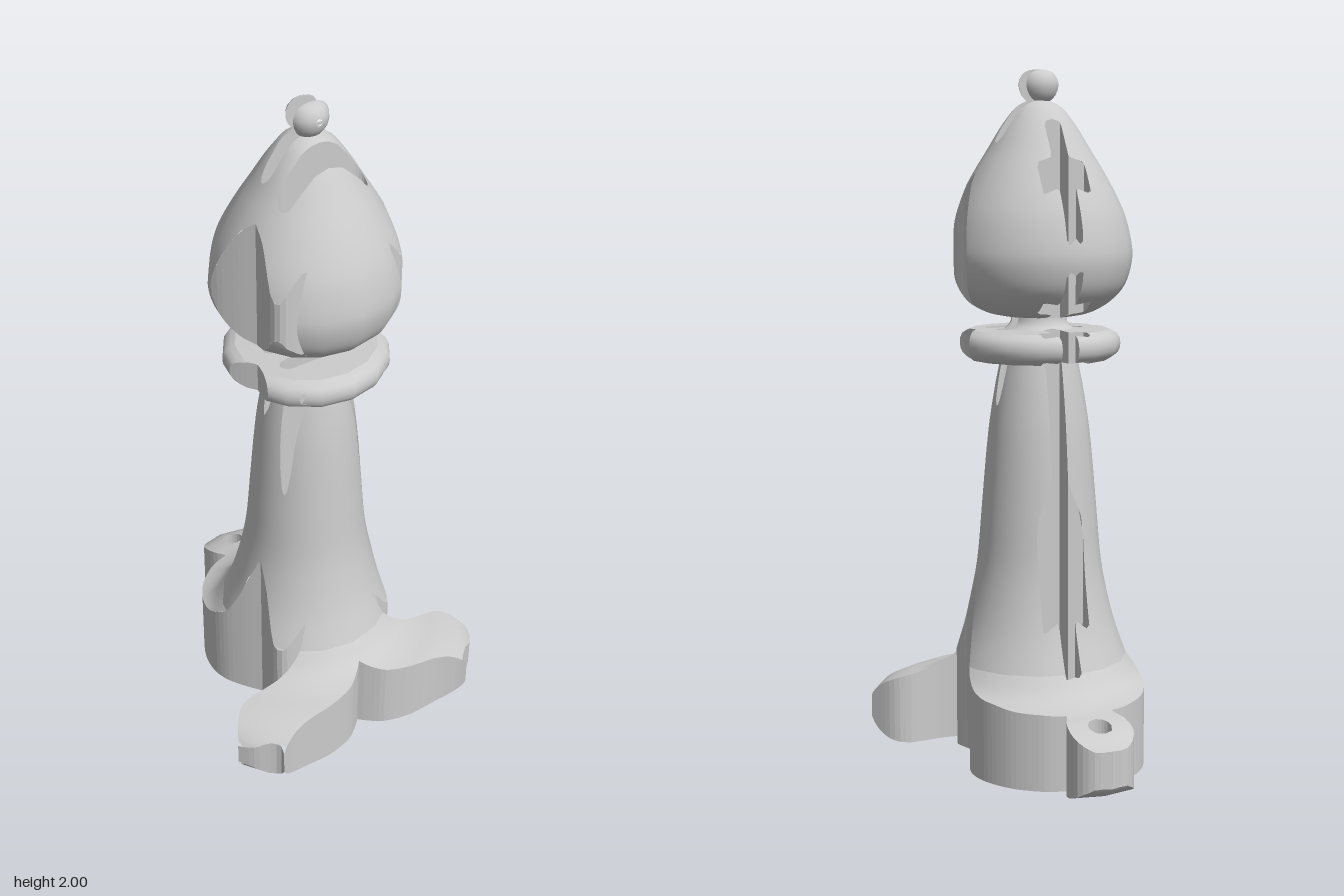
import * as THREE from 'three';

// The solid is a turned chess piece (16-sided lathe) cut vertically by a flat emblem outline.
const AXIS_Z = 0.057, SIDES = 16, SEGMENTS = 128, STEP = 0.017;
const V2 = (p) => new THREE.Vector2(p[0], p[1]);

// Smooth curve (or straight line) through points, evenly sampled
function sample(points, step = STEP) {
  const curve = points.length === 2
    ? new THREE.LineCurve(V2(points[0]), V2(points[1]))
    : new THREE.SplineCurve(points.map(V2));
  return curve.getSpacedPoints(Math.max(2, Math.ceil(curve.getLength() / step)));
}

// Right half of the emblem outline (x, z), from back to front; each list is one smooth run
const HALF_OUTLINE = [
  [[0, -0.46], [0.05, -0.45], [0.083, -0.42], [0.092, -0.383], [0.085, -0.34], [0.065, -0.305]],
  [[0.065, -0.305], [0.13, -0.282], [0.2, -0.225], [0.245, -0.15], [0.26, -0.08], [0.25, -0.02], [0.22, 0.035], [0.18, 0.09]],
  [[0.18, 0.09], [0.19, 0.14], [0.205, 0.19], [0.203, 0.213], [0.18, 0.235], [0.118, 0.243]],
  [[0.118, 0.243], [0.16, 0.262], [0.22, 0.271], [0.28, 0.268], [0.34, 0.266], [0.385, 0.288], [0.428, 0.35]],
  [[0.428, 0.35], [0.395, 0.39], [0.35, 0.42], [0.335, 0.435], [0.335, 0.455]],
  [[0.335, 0.455], [0.3, 0.44], [0.24, 0.427], [0.15, 0.424], [0.07, 0.405], [0.025, 0.375], [0, 0.352]],
];

// Closed loops: outer outline, tail eye, cross and two rounded slots
function makeLoops() {
  const loops = [];
  const half = HALF_OUTLINE.flatMap((run) => sample(run).slice(0, -1));
  half.push(new THREE.Vector2(0, 0.352));
  const mirrored = half.slice(1, -1).reverse().map((p) => new THREE.Vector2(-p.x, p.y));
  loops.push([...half, ...mirrored]);

  const eye = new THREE.EllipseCurve(0, -0.377, 0.034, 0.034);
  loops.push(eye.getPoints(24).slice(0, -1));

  const w = 0.025, l = 0.072, z0 = -0.205, z1 = -0.148, z2 = -0.098, z3 = -0.037;
  const cross = [[w, z0], [w, z1], [l, z1], [l, z2], [w, z2], [w, z3],
    [-w, z3], [-w, z2], [-l, z2], [-l, z1], [-w, z1], [-w, z0]];
  loops.push(cross.flatMap((p, i) => sample([p, cross[(i + 1) % 12]]).slice(0, -1)));

  for (const [a, b] of [[0.03, 0.073], [0.112, 0.158]]) {
    const c = (a + b) / 2, h = (b - a) / 2, e = 0.105;
    const end = (s) => Array.from({ length: 11 }, (_, i) => {
      const t = -Math.PI / 2 + Math.PI * i / 10;
      return new THREE.Vector2(s * (e + 0.03 * Math.cos(t)), c + s * h * Math.sin(t));
    });
    const right = end(1), left = end(-1);
    loops.push([...right, ...sample([[e, b], [-e, b]]).slice(1, -1),
      ...left, ...sample([[-e, a], [e, a]]).slice(1, -1)]);
  }
  return loops;
}

// Signed distance to the emblem, positive inside
function emblemDistance(edges, x, z) {
  let best = Infinity, inside = false;
  for (const [a, b] of edges) {
    const dx = b.x - a.x, dz = b.y - a.y;
    const t = Math.min(1, Math.max(0, ((x - a.x) * dx + (z - a.y) * dz) / (dx * dx + dz * dz)));
    best = Math.min(best, (a.x + t * dx - x) ** 2 + (a.y + t * dz - z) ** 2);
    if ((a.y > z) !== (b.y > z) && x < a.x + (z - a.y) / dz * dx) inside = !inside;
  }
  return (inside ? 1 : -1) * Math.sqrt(best);
}

// How far a 16-sided ring falls short of its circle at an angle
function ringFactor(angle) {
  const sector = Math.PI * 2 / SIDES;
  const local = ((angle % sector) + sector) % sector - sector / 2;
  return Math.cos(sector / 2) / Math.cos(local);
}
function ringRadius(p) {
  const z = p.y - AXIS_Z;
  return Math.hypot(p.x, z) / ringFactor(Math.atan2(p.x, z));
}

// Collects triangles, keeping only the part where the vertex value f is positive
class ClippedSurface {
  positions = [];
  normals = [];
  triangle(...corners) {
    const kept = [];
    corners.forEach((a, i) => {
      const b = corners[(i + 1) % 3];
      if (a.f >= 0) kept.push(a);
      if ((a.f >= 0) !== (b.f >= 0)) {
        const t = a.f / (a.f - b.f);
        kept.push({ p: a.p.clone().lerp(b.p, t), n: a.n.clone().lerp(b.n, t).normalize() });
      }
    });
    for (let i = 1; i + 1 < kept.length; i++) {
      let [a, b, c] = [kept[0], kept[i], kept[i + 1]];
      const face = b.p.clone().sub(a.p).cross(c.p.clone().sub(a.p));
      if (face.lengthSq() < 1e-16) continue;
      if (face.dot(a.n.clone().add(b.n).add(c.n)) < 0) [b, c] = [c, b];
      for (const v of [a, b, c]) {
        this.positions.push(v.p.x, v.p.y, v.p.z);
        this.normals.push(v.n.x, v.n.y, v.n.z);
      }
    }
  }
  quad(a, b, c, d) {
    this.triangle(a, b, c);
    this.triangle(a, c, d);
  }
  geometry() {
    const g = new THREE.BufferGeometry();
    g.setAttribute('position', new THREE.Float32BufferAttribute(this.positions, 3));
    g.setAttribute('normal', new THREE.Float32BufferAttribute(this.normals, 3));
    return g;
  }
}

// Turned profile (radius, height) of each part, bottom to top
const PARTS = {
  base: [
    [[0, 0], [0.4, 0]],
    [[0.4, 0], [0.46, 0.01], [0.51, 0.04], [0.535, 0.09], [0.528, 0.14], [0.49, 0.18], [0.43, 0.205], [0.36, 0.222], [0.3, 0.25], [0.257, 0.3]],
  ],
  stem: [
    [[0.257, 0.3], [0.222, 0.4], [0.197, 0.5], [0.18, 0.6], [0.167, 0.75], [0.154, 0.9], [0.143, 1.0], [0.127, 1.1], [0.112, 1.175]],
  ],
  collar: [
    [[0.112, 1.175], [0.2, 1.178]],
    [[0.2, 1.178], [0.228, 1.195], [0.236, 1.222], [0.228, 1.248], [0.2, 1.264]],
    [[0.2, 1.264], [0.1, 1.266]],
  ],
  neck: [[[0.1, 1.266], [0.083, 1.282], [0.08, 1.3]]],
  head: [
    [[0.08, 1.3], [0.13, 1.307], [0.18, 1.325], [0.225, 1.36], [0.252, 1.4], [0.268, 1.46], [0.266, 1.51], [0.25, 1.58], [0.225, 1.64],
      [0.187, 1.71], [0.15, 1.77], [0.107, 1.84], [0.068, 1.89], [0.036, 1.91]],
  ],
  finial: [[[0.036, 1.91], [0.05, 1.928], [0.057, 1.957], [0.047, 1.984], [0.026, 1.997], [0, 2]]],
};

export function createModel() {
  const group = new THREE.Group();
  const material = new THREE.MeshStandardMaterial({ color: 0xcccccc });
  const edges = makeLoops().flatMap((loop) => loop.map((p, i) => [p, loop[(i + 1) % loop.length]]));

  // Cut walls: outward normal and ring radius at both ends of each outline edge
  const walls = edges.map(([a, b]) => {
    const n = new THREE.Vector3(b.y - a.y, 0, a.x - b.x).normalize();
    const mx = (a.x + b.x) / 2 + n.x * 0.002, mz = (a.y + b.y) / 2 + n.z * 0.002;
    if (emblemDistance(edges, mx, mz) > 0) n.negate();
    return { a, b, n, ra: ringRadius(a), rb: ringRadius(b) };
  });

  for (const [name, runs] of Object.entries(PARTS)) {
    const surface = new ClippedSurface();
    for (const run of runs) {
      const profile = sample(run, name === 'finial' ? 0.01 : STEP);

      // Turned skin, trimmed to the emblem
      const rings = profile.map((q, i) => {
        const d = profile[Math.min(i + 1, profile.length - 1)].clone().sub(profile[Math.max(i - 1, 0)]).normalize();
        return Array.from({ length: SEGMENTS + 1 }, (_, j) => {
          const t = j / SEGMENTS * Math.PI * 2, r = q.x * ringFactor(t);
          const p = new THREE.Vector3(r * Math.sin(t), q.y, AXIS_Z + r * Math.cos(t));
          const n = new THREE.Vector3(d.y * Math.sin(t), -d.x, d.y * Math.cos(t));
          return { p, n, f: emblemDistance(edges, p.x, p.z) };
        });
      });
      for (let i = 0; i + 1 < rings.length; i++) {
        for (let j = 0; j < SEGMENTS; j++) {
          surface.quad(rings[i][j], rings[i][j + 1], rings[i + 1][j + 1], rings[i + 1][j]);
        }
      }

      // Vertical cut walls, trimmed to the turned profile
      for (let i = 0; i + 1 < profile.length; i++) {
        const lo = profile[i], hi = profile[i + 1];
        if (Math.abs(hi.y - lo.y) < 1e-5) continue;
        for (const { a, b, n, ra, rb } of walls) {
          const corner = (e, r, q) => ({ p: new THREE.Vector3(e.x, q.y, e.y), n, f: q.x - r });
          surface.quad(corner(a, ra, lo), corner(b, rb, lo), corner(b, rb, hi), corner(a, ra, hi));
        }
      }
    }
    const mesh = new THREE.Mesh(surface.geometry(), material);
    mesh.name = name;
    group.add(mesh);
  }
  return group;
}
